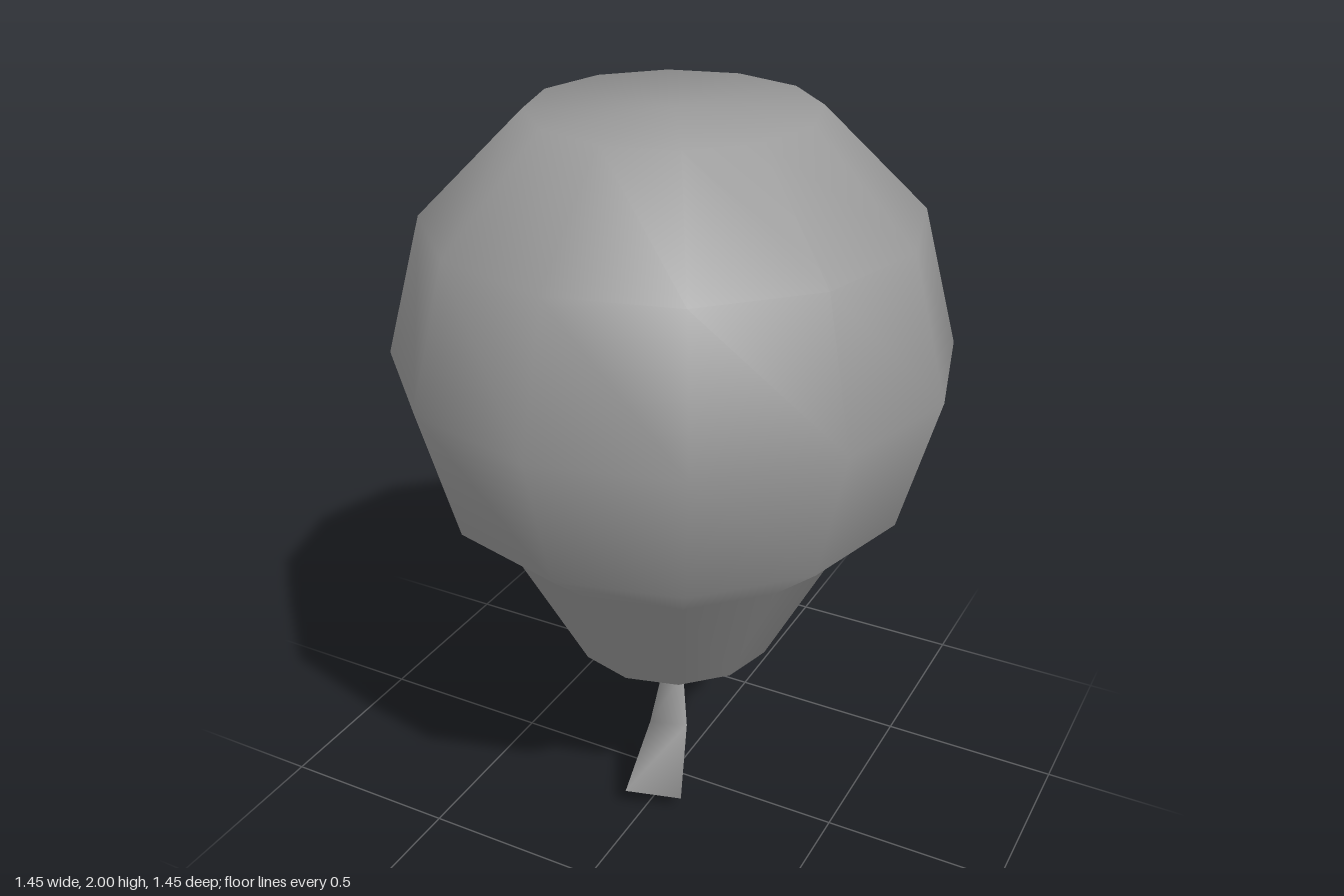
import * as THREE from 'three';
import { mergeVertices } from 'three/addons/utils/BufferGeometryUtils.js';

const material = () => new THREE.MeshStandardMaterial({ color: 0x9a9a9a, side: THREE.DoubleSide });

// Lathe with joined seam and poles, so the shading is smooth all over
function smoothLathe(points, sides) {
  const lathe = new THREE.LatheGeometry(points.map(([r, y]) => new THREE.Vector2(r, y)), sides);
  lathe.deleteAttribute('normal');
  lathe.deleteAttribute('uv');
  const geometry = mergeVertices(lathe);
  geometry.computeVertexNormals();
  return geometry;
}

// Loft of equal-sized rings from top to bottom, closed at the lower end
function loft(rings) {
  const n = rings[0].length;
  const index = [];
  for (let r = 0; r < rings.length - 1; r++) {
    for (let i = 0; i < n; i++) {
      const j = (i + 1) % n;
      const u = r * n, l = u + n;
      index.push(l + i, l + j, u + j, l + i, u + j, u + i);
    }
  }
  // End cap has its own corners so its edge stays sharp
  const last = rings[rings.length - 1];
  const cap = rings.length * n;
  for (let i = 1; i < n - 1; i++) index.push(cap, cap + i + 1, cap + i);
  const geometry = new THREE.BufferGeometry();
  geometry.setAttribute('position', new THREE.Float32BufferAttribute([...rings, last].flat(2), 3));
  geometry.setIndex(index);
  geometry.computeVertexNormals();
  return geometry;
}

export function createModel() {
  const model = new THREE.Group();
  model.name = 'balloon';

  // Twelve-sided bulb tapering into the neck, with a flat crown
  const bulb = new THREE.Mesh(smoothLathe([
    [0, 0.35], [0.28, 0.52], [0.47, 0.885], [0.625, 1.02],
    [0.723, 1.38], [0.625, 1.74], [0.36, 2], [0, 2],
  ], 12), material());
  bulb.name = 'bulb';
  model.add(bulb);

  // Three-sided nozzle bending forward and widening to its end
  const nozzle = new THREE.Mesh(loft([
    [[-0.02, 0.375, 0.035], [0.035, 0.37, 0.01], [-0.02, 0.36, -0.02]],
    [[-0.033, 0.23, 0.085], [0.06, 0.215, 0.035], [-0.033, 0.2, -0.01]],
    [[-0.045, 0.065, 0.215], [0.095, 0.035, 0.14], [-0.045, 0, 0.06]],
  ]), material());
  nozzle.name = 'nozzle';
  model.add(nozzle);

  return model;
}
